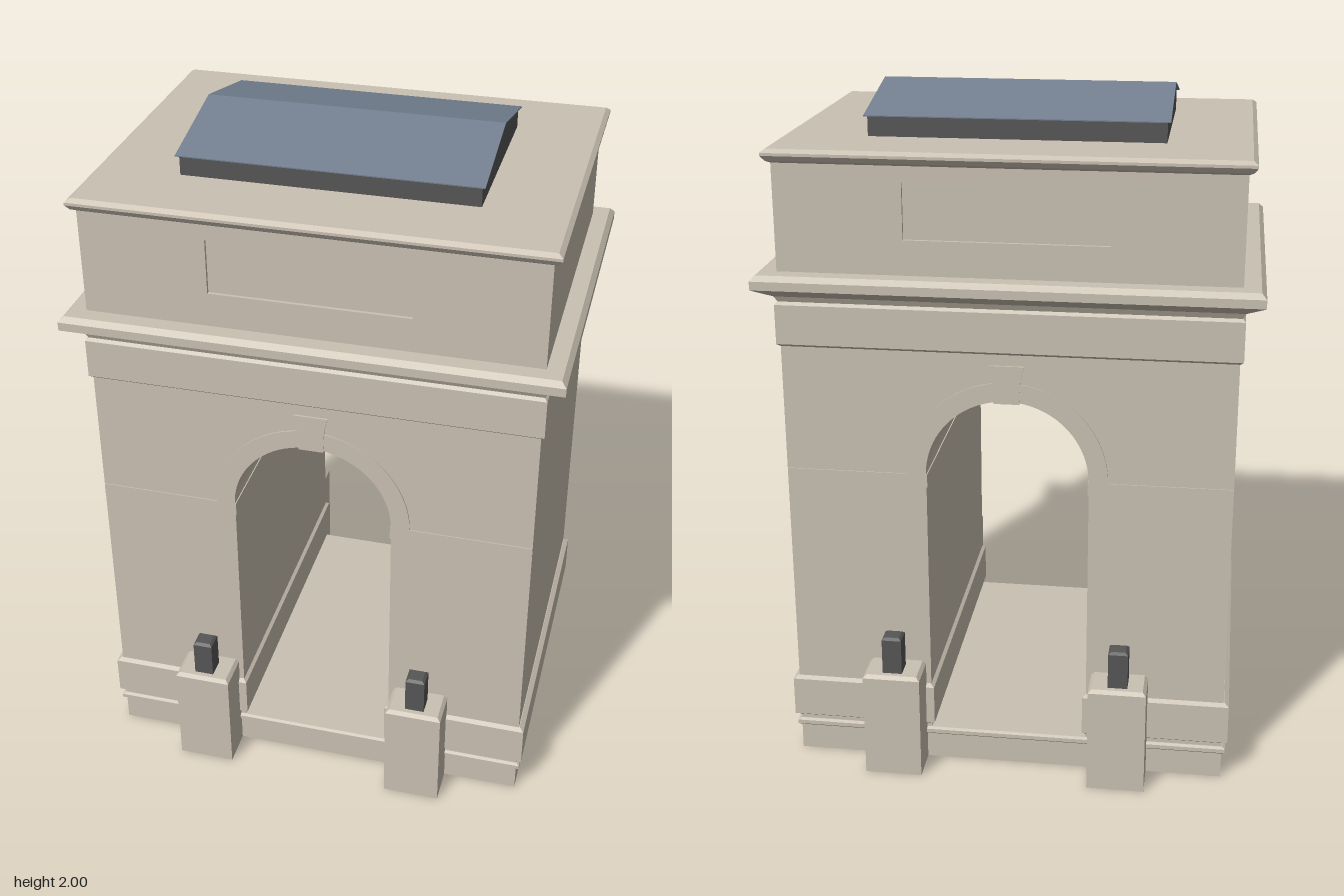
import * as THREE from 'three';

const HX = 0.645, HZ = 0.49;   // half width and depth of the main block
const R = 0.235, SPRING = 0.94; // archway radius and springing height

// Stacks rectangles: each profile entry is [outward offset, y]
function rectLoft(profile, hx, hz, capBottom = true) {
  const ring = ([o, y]) => [[-1, 1], [1, 1], [1, -1], [-1, -1]]
    .map(([sx, sz]) => [sx * (hx + o), y, sz * (hz + o)]);
  const p = [];
  const quad = (a, b, c, d) => p.push(...a, ...b, ...c, ...a, ...c, ...d);
  const rings = profile.map(ring);
  for (let i = 0; i < rings.length - 1; i++) {
    for (let k = 0; k < 4; k++) {
      const n = (k + 1) % 4;
      quad(rings[i][k], rings[i][n], rings[i + 1][n], rings[i + 1][k]);
    }
  }
  quad(...rings[rings.length - 1]);
  if (capBottom) quad(...rings[0].slice().reverse());
  const g = new THREE.BufferGeometry();
  g.setAttribute('position', new THREE.Float32BufferAttribute(p, 3));
  g.computeVertexNormals();
  return g;
}

// Extrudes a front-plane shape from z = -depth/2 to z = +depth/2
function slab(shape, depth) {
  const g = new THREE.ExtrudeGeometry(shape, { depth, bevelEnabled: false, curveSegments: 28 });
  return g.translate(0, 0, -depth / 2);
}

function polygon(points) {
  return new THREE.Shape(points.map(([x, y]) => new THREE.Vector2(x, y)));
}

export function createModel() {
  const model = new THREE.Group();
  model.name = 'triumphalArch';
  const stone = new THREE.MeshStandardMaterial({ color: 0xc9c0b1, side: THREE.DoubleSide });
  stone.name = 'stone';
  const dark = new THREE.MeshStandardMaterial({ color: 0x575657 });
  dark.name = 'darkMetal';
  const blue = new THREE.MeshStandardMaterial({ color: 0x738090 });
  blue.name = 'blueRoofing';

  const add = (name, geometry, material, x = 0, y = 0, z = 0) => {
    const mesh = new THREE.Mesh(geometry, material);
    mesh.name = name;
    mesh.position.set(x, y, z);
    model.add(mesh);
    return mesh;
  };

  // Hollow plinth whose top is the passage floor
  add('plinth', rectLoft([[0, 0], [0, 0.08], [0.01, 0.088], [0.01, 0.1], [0.002, 0.105]], HX, HZ, false), stone);

  // Main block with the arched passage cut through
  const body = new THREE.Shape();
  body.moveTo(-HX, 0.1);
  body.lineTo(-R, 0.1);
  body.lineTo(-R, SPRING);
  body.absarc(0, SPRING, R, Math.PI, 0, true);
  body.lineTo(R, 0.1);
  body.lineTo(HX, 0.1);
  body.lineTo(HX, 1.5);
  body.lineTo(-HX, 1.5);
  body.closePath();
  add('archBlock', slab(body, HZ * 2), stone);

  // Pier footings and impost bands
  for (const s of [-1, 1]) {
    const footing = rectLoft([[-0.014, 0.115], [0, 0.125], [0, 0.245], [-0.014, 0.255]], 0.218, 0.502);
    add('pierFooting', footing, stone, s * 0.443);
    add('impostBand', new THREE.BoxGeometry(0.412, 0.04, HZ * 2 + 0.006), stone, s * 0.438, 0.92, 0);
  }

  // Arch surround and keystone on both faces
  const surround = new THREE.Shape();
  surround.absarc(0, SPRING, 0.29, 0, Math.PI, false);
  surround.lineTo(-R, SPRING);
  surround.absarc(0, SPRING, R, Math.PI, 0, true);
  surround.closePath();
  const keystone = polygon([[-0.036, 1.168], [0.036, 1.168], [0.04, 1.24], [0.05, 1.28], [-0.05, 1.28], [-0.04, 1.24]]);
  for (const s of [-1, 1]) {
    add('archSurround', slab(surround, 0.008), stone, 0, 0, s * HZ);
    add('keystone', slab(keystone, 0.04), stone, 0, 0, s * (HZ - 0.014));
  }

  // Frieze and main cornice
  add('frieze', rectLoft([[0, 1.312], [0.01, 1.32], [0.01, 1.435], [0, 1.445]], HX, HZ), stone);
  add('mainCornice', rectLoft([[0, 1.44], [0.005, 1.45], [0.01, 1.46], [0.062, 1.49],
    [0.062, 1.515], [0.048, 1.53]], HX, HZ), stone);

  // Attic, with recessed panels front and back
  add('attic', new THREE.BoxGeometry(HX * 2, 0.34, HZ * 2 - 0.02), stone, 0, 1.69, 0);
  const face = polygon([[-HX, 1.52], [HX, 1.52], [HX, 1.86], [-HX, 1.86]]);
  face.holes.push(polygon([[-0.285, 1.63], [-0.285, 1.79], [0.285, 1.79], [0.285, 1.63]]));
  for (const s of [-1, 1]) add('atticFace', slab(face, 0.01), stone, 0, 0, s * (HZ - 0.005));
  add('atticCornice', rectLoft([[0, 1.835], [0.012, 1.842], [0.023, 1.857], [0.023, 1.865],
    [0.01, 1.875]], HX, HZ), stone);

  // Gabled rooflight: dark housing under two thin blue slopes
  const gable = polygon([[-0.285, 1.87], [0.285, 1.87], [0.285, 1.933], [0, 1.997], [-0.285, 1.933]]);
  add('roofHousing', slab(gable, 0.84).rotateY(Math.PI / 2), dark);
  const cover = polygon([[-0.295, 1.932], [0, 1.997], [0.295, 1.932], [0.295, 1.935], [0, 2], [-0.295, 1.935]]);
  add('roofCover', slab(cover, 0.858).rotateY(Math.PI / 2), blue);

  // Pedestals with dark lamps, two at each face
  for (const sx of [-1, 1]) {
    for (const sz of [-1, 1]) {
      add('pedestal', rectLoft([[0, 0], [0, 0.32], [-0.01, 0.33]], 0.085, 0.06), stone, sx * 0.335, 0, sz * 0.54);
      add('lamp', rectLoft([[0, 0.33], [0, 0.438], [-0.008, 0.445]], 0.029, 0.029), dark, sx * 0.335, 0, sz * 0.547);
    }
  }
  return model;
}
